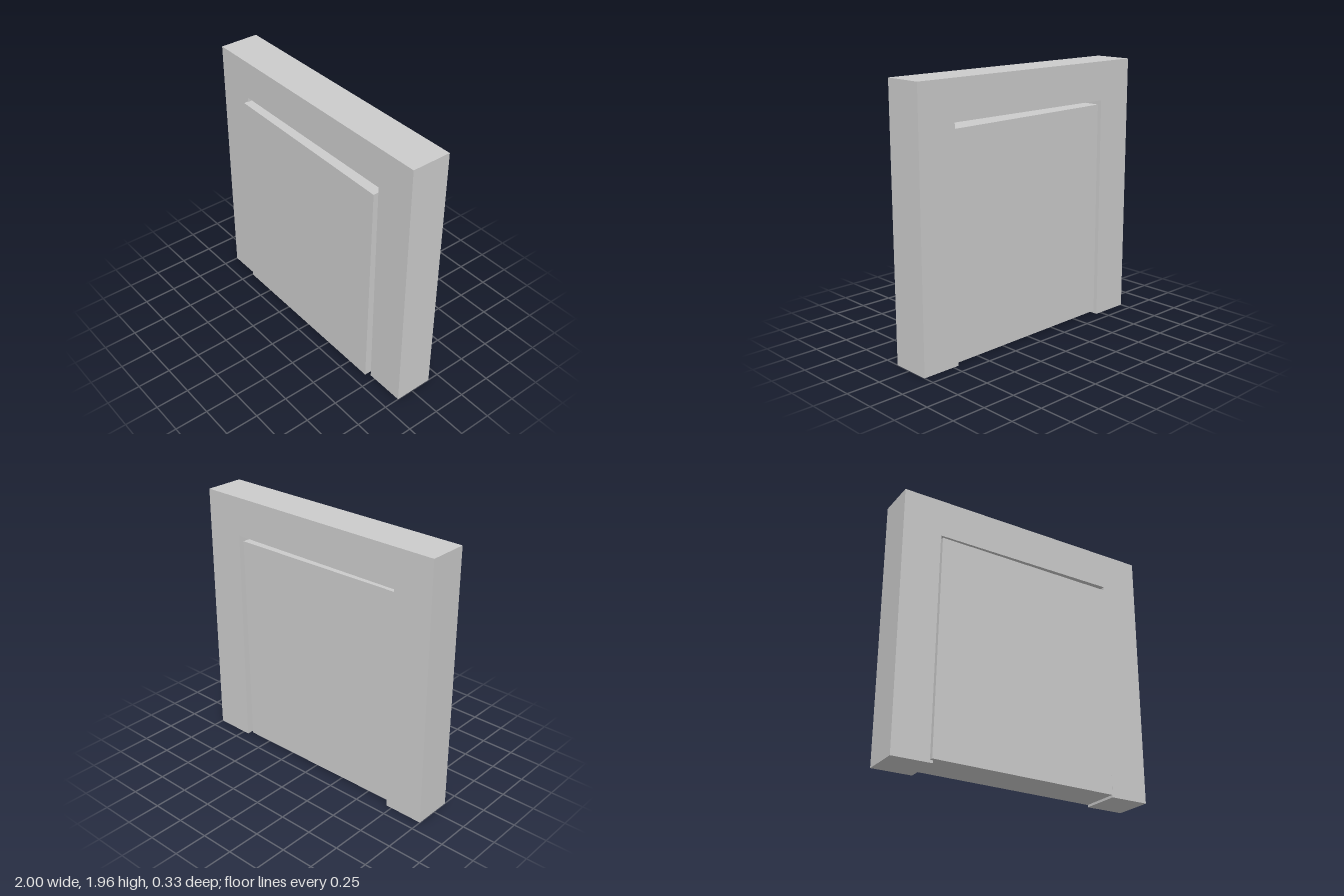
import * as THREE from 'three';

export function createModel() {
  const model = new THREE.Group();
  const material = new THREE.MeshStandardMaterial({ color: 0xcccccc, flatShading: true });
  const depth = 0.295;

  // Surround: two posts and a lintel as one solid arch
  const halfOpening = 0.705, openingTop = 1.674, top = 1.96;
  const outline = new THREE.Shape([
    [-1, 0], [-halfOpening, 0], [-halfOpening, openingTop], [halfOpening, openingTop],
    [halfOpening, 0], [1, 0], [1, top], [-1, top],
  ].map(([x, y]) => new THREE.Vector2(x, y)));
  const frame = new THREE.Mesh(
    new THREE.ExtrudeGeometry(outline, { depth, bevelEnabled: false }), material);
  frame.name = 'doorFrame';
  frame.position.z = -0.163;
  model.add(frame);

  // Door slab: slightly tilted and standing proud of the frame
  const door = new THREE.Mesh(new THREE.BoxGeometry(1.405, 1.62, depth), material);
  door.name = 'doorSlab';
  door.position.set(-0.015, 0.8225, 0.163 - depth / 2);
  door.rotation.z = -0.01;
  model.add(door);

  return model;
}
